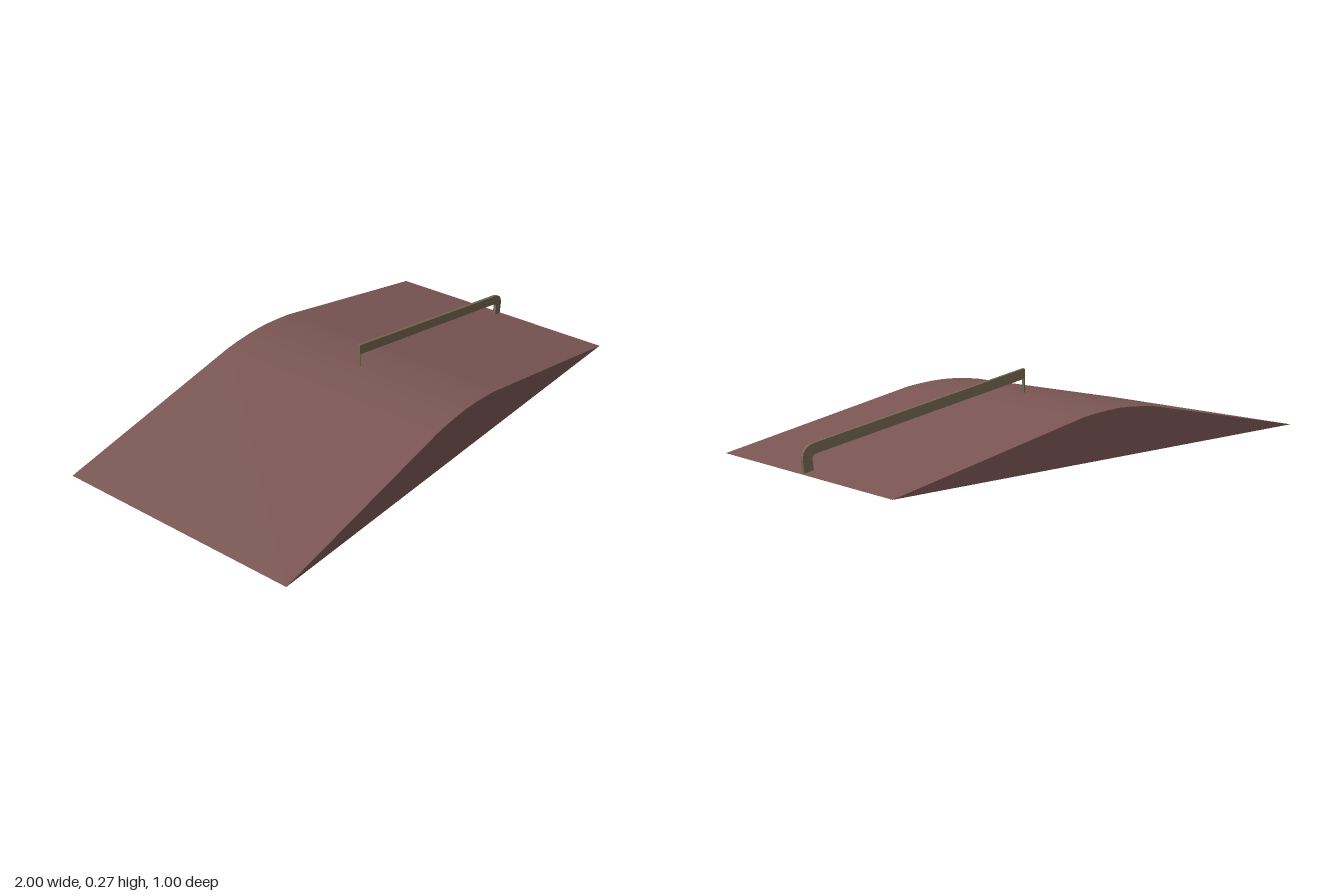
import * as THREE from 'three';

const CREST = [[-0.18, 0.166], [-0.12, 0.173], [-0.06, 0.178], [0, 0.18], [0.06, 0.178], [0.12, 0.173], [0.175, 0.167]];
const FOOT = 0.004;

export function createModel() {
  const model = new THREE.Group();
  const rampBrown = new THREE.MeshStandardMaterial({ color: 0x7a5654, side: THREE.DoubleSide });
  const railOlive = new THREE.MeshStandardMaterial({ color: 0x756850, side: THREE.DoubleSide });

  const add = (name, geometry, material, z = 0) => {
    const mesh = new THREE.Mesh(geometry, material);
    mesh.name = name;
    mesh.position.z = z;
    model.add(mesh);
    return mesh;
  };

  // Ramp deck: a strip swept along the side profile, open underneath
  const profile = [[-1, FOOT], ...CREST, [1, FOOT]];
  const last = profile.length - 1;
  const positions = [];
  const index = [];
  profile.forEach(([x, y], i) => {
    positions.push(x, y, -0.5, x, y, 0.5);
    if (i < last) {
      const a = 2 * i;
      index.push(a, a + 1, a + 2, a + 1, a + 3, a + 2);
    }
  });
  const indexed = new THREE.BufferGeometry();
  indexed.setAttribute('position', new THREE.Float32BufferAttribute(positions, 3));
  indexed.setIndex(index);
  const deck = indexed.toNonIndexed();
  deck.computeVertexNormals();
  add('rampDeck', deck, rampBrown);

  // Side walls
  const wall = new THREE.ShapeGeometry(new THREE.Shape(profile.map(([x, y]) => new THREE.Vector2(x, y))));
  add('frontWall', wall, rampBrown, 0.5);
  add('backWall', wall, rampBrown, -0.5).rotation.y = Math.PI;
  // The back wall turns about y, so mirror its slightly uneven crest back
  model.getObjectByName('backWall').scale.x = -1;

  // Sloping handrail that bends down to the foot of the ramp
  const rail = new THREE.Shape();
  rail.moveTo(0.002, 0.272);
  rail.lineTo(0.95, 0.105);
  rail.bezierCurveTo(0.982, 0.099, 0.998, 0.08, 0.996, 0.05);
  rail.lineTo(0.99, 0);
  rail.lineTo(0.953, 0);
  rail.lineTo(0.958, 0.045);
  rail.quadraticCurveTo(0.961, 0.064, 0.944, 0.068);
  rail.lineTo(0.002, 0.233);
  rail.closePath();
  add('handrail', new THREE.ExtrudeGeometry(rail, { depth: 0.013, bevelEnabled: false, curveSegments: 6 }), railOlive, -0.001);

  // Thin post under the upper end, passing down through the deck
  const post = new THREE.BoxGeometry(0.005, 0.27, 0.013);
  post.translate(0.002, 0.135, 0.0055);
  add('railPost', post, railOlive);

  return model;
}
